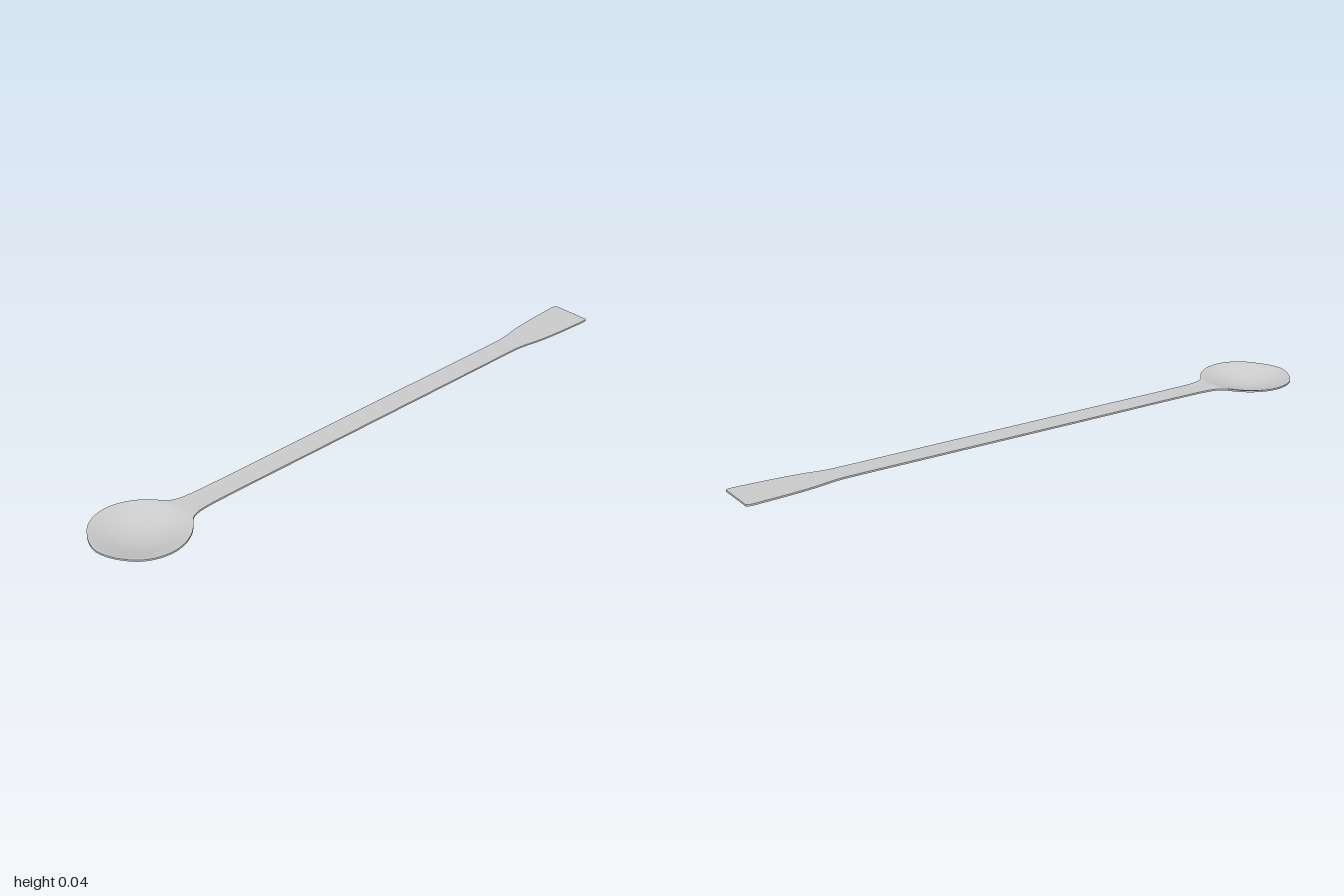
import * as THREE from 'three';
import { toCreasedNormals } from 'three/addons/utils/BufferGeometryUtils.js';

const COLS = 24, THICK = 0.0055;

// Half-width along the length: [z, half width], flat blade end to bowl tip
const OUTLINE = [
  [-1, 0.064], [-0.994, 0.068], [-0.92, 0.066], [-0.84, 0.061], [-0.77, 0.053],
  [-0.72, 0.044], [-0.69, 0.04], [-0.64, 0.039], [-0.3, 0.039], [0.2, 0.039], [0.58, 0.039],
  [0.64, 0.041], [0.68, 0.047], [0.705, 0.06], [0.73, 0.09], [0.76, 0.118], [0.8, 0.14],
  [0.85, 0.15], [0.9, 0.141], [0.94, 0.118], [0.97, 0.082], [0.99, 0.045], [0.998, 0.018], [1, 0.003],
];

// Upper surface: a slightly rising handle with a soft round hollow for the bowl
function topHeight(x, z) {
  const base = 0.0357 + 0.005 * THREE.MathUtils.clamp((0.65 - z) / 1.65, 0, 1);
  const r2 = (x * x + (z - 0.85) ** 2) / 0.0225;
  return base - 0.0302 * Math.max(0, 1 - r2) ** 1.35;
}

// Sheet of even thickness lofted from closed cross-sections
function spoonGeometry() {
  const curve = new THREE.CatmullRomCurve3(
    OUTLINE.map(([z, w]) => new THREE.Vector3(w, 0, z)), false, 'centripetal');
  const stations = curve.getPoints((OUTLINE.length - 1) * 5);
  const ring = 2 * (COLS + 1);
  const pos = [], index = [];

  for (const { x: w, z } of stations) {
    for (let k = 0; k < ring; k++) {
      const top = k <= COLS;
      const t = top ? k / COLS : (ring - 1 - k) / COLS;
      const x = w * (2 * t - 1);
      pos.push(x, topHeight(x, z) - (top ? 0 : THICK), z);
    }
  }
  // Skin between neighbouring sections
  for (let s = 0; s < stations.length - 1; s++) {
    for (let k = 0; k < ring; k++) {
      const a = s * ring + k, b = s * ring + (k + 1) % ring;
      index.push(a, a + ring, b, b, a + ring, b + ring);
    }
  }
  // End faces
  const last = (stations.length - 1) * ring;
  for (let k = 0; k < COLS; k++) {
    const a = k, b = k + 1, c = ring - 1 - k, d = ring - 2 - k;
    index.push(a, b, c, b, d, c);
    index.push(last + a, last + c, last + b, last + b, last + c, last + d);
  }

  const geo = new THREE.BufferGeometry();
  geo.setAttribute('position', new THREE.Float32BufferAttribute(pos, 3));
  geo.setIndex(index);
  return toCreasedNormals(geo, 0.6);
}

export function createModel() {
  const group = new THREE.Group();
  group.name = 'spatulaSpoon';
  const material = new THREE.MeshStandardMaterial({ color: 0xcccccc });
  const spoon = new THREE.Mesh(spoonGeometry(), material);
  spoon.name = 'bowlHandleAndBlade';
  group.add(spoon);
  return group;
}
